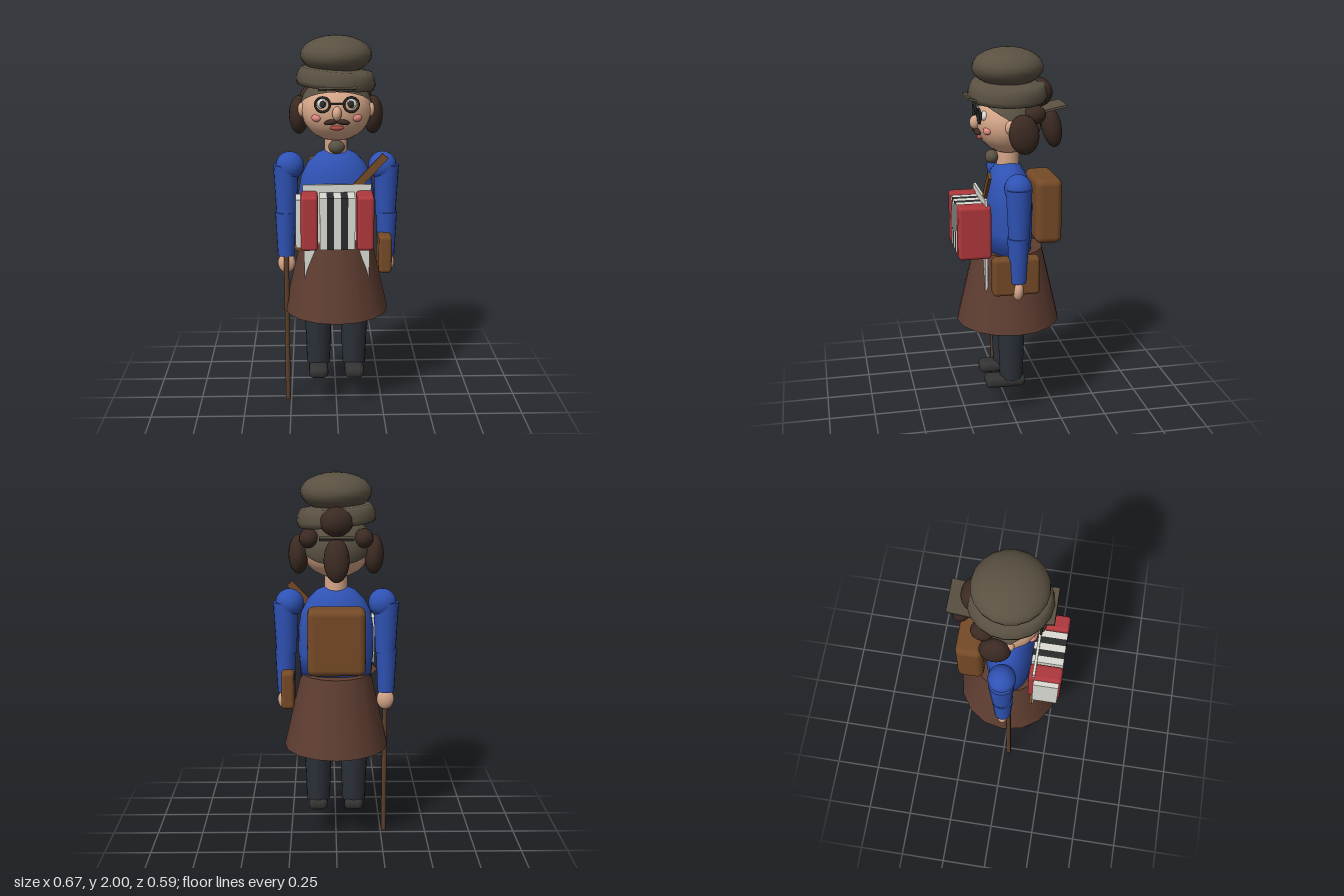
import * as THREE from 'three';
import { RoundedBoxGeometry } from 'three/addons/geometries/RoundedBoxGeometry.js';

const COLORS = {
  cap: 0x5a5142, hair: 0x3b2a22, skin: 0xd8a88a, blue: 0x2f52b4, leather: 0x754a27,
  skirt: 0x5e3d31, trousers: 0x2b3038, shoe: 0x333333, red: 0xae383d, white: 0xdcdcd4,
  black: 0x2a2c2b, wood: 0x5c3f2b, blush: 0xe08a80, lips: 0xb04a42,
};
const materials = {};
for (const key in COLORS) {
  materials[key] = new THREE.MeshStandardMaterial({ color: COLORS[key], side: THREE.DoubleSide });
}

export function createModel() {
  const model = new THREE.Group();
  model.name = 'travellingMusician';

  const add = (name, geometry, color, pos, rot = [0, 0, 0], scale = [1, 1, 1]) => {
    const mesh = new THREE.Mesh(geometry, materials[color]);
    mesh.name = name;
    mesh.position.set(...pos);
    mesh.rotation.set(...rot);
    mesh.scale.set(...scale);
    model.add(mesh);
    return mesh;
  };
  const ball = (name, color, pos, radii, rot) =>
    add(name, new THREE.SphereGeometry(1, 20, 14), color, pos, rot, radii);
  const rounded = (name, color, size, radius, pos, rot) =>
    add(name, new RoundedBoxGeometry(...size, 3, radius), color, pos, rot);
  const box = (name, color, size, pos, rot) => add(name, new THREE.BoxGeometry(...size), color, pos, rot);
  const tube = (name, color, top, bottom, y0, y1, x, z, sides = 16) =>
    add(name, new THREE.CylinderGeometry(top, bottom, y1 - y0, sides), color, [x, (y0 + y1) / 2, z]);

  // Torso, skirt and neck
  const torso = [[0, 0.92], [0.19, 0.92], [0.2, 1.05], [0.2, 1.18], [0.185, 1.27], [0.15, 1.34],
    [0.1, 1.39], [0.05, 1.41], [0, 1.41]].map(p => new THREE.Vector2(...p));
  add('torso', new THREE.LatheGeometry(torso, 24), 'blue', [0, 0, 0], [0, 0, 0], [1, 1, 0.64]);
  tube('skirt', 'skirt', 0.185, 0.28, 0.53, 0.94, 0, 0);
  tube('neck', 'skin', 0.06, 0.06, 1.38, 1.5, 0, 0);

  // Head and face
  ball('head', 'skin', [0, 1.62, 0], [0.185, 0.165, 0.165]);
  ball('nose', 'skin', [0, 1.62, 0.17], [0.024, 0.036, 0.03]);
  ball('mouth', 'lips', [0, 1.543, 0.147], [0.036, 0.012, 0.014]);
  ball('goatee', 'cap', [0, 1.435, 0.085], [0.043, 0.036, 0.035]);
  box('glassesBridge', 'black', [0.07, 0.009, 0.009], [0, 1.668, 0.163]);

  // Cap: skull shell, tilted band, puffed crown, front visor and back flap
  add('capShell', new THREE.SphereGeometry(1, 24, 12, 0, Math.PI * 2, 0, Math.PI * 0.47), 'cap',
    [0, 1.62, 0], [-0.55, 0, 0], [0.19, 0.172, 0.175]);
  const band = [[0.15, -0.045], [0.2, -0.045], [0.208, -0.02], [0.2, 0.015], [0.185, 0.045], [0.1, 0.055]]
    .map(p => new THREE.Vector2(...p));
  add('capBand', new THREE.LatheGeometry(band, 20), 'cap', [0, 1.782, 0], [0, 0, -0.09]);
  ball('capCrown', 'cap', [0, 1.9, 0], [0.185, 0.1, 0.185]);
  box('capVisor', 'cap', [0.19, 0.012, 0.14], [0, 1.742, 0.152], [-0.2, 0, 0]);
  box('capBackFlap', 'cap', [0.176, 0.012, 0.16], [0, 1.686, -0.217], [0.2, 0, 0]);

  // Back hair
  ball('upperBackHair', 'hair', [0, 1.765, -0.165], [0.085, 0.075, 0.07]);
  ball('lowerBackHair', 'hair', [0, 1.58, -0.235], [0.065, 0.112, 0.052], [0.2, 0, 0]);

  // Mirrored parts of face, arms and legs
  for (const s of [-1, 1]) {
    const side = s > 0 ? 'left' : 'right';
    ball(side + 'Eye', 'white', [s * 0.073, 1.665, 0.135], [0.028, 0.026, 0.018]);
    ball(side + 'Pupil', 'black', [s * 0.071, 1.665, 0.147], [0.017, 0.019, 0.011]);
    add(side + 'GlassesRim', new THREE.TorusGeometry(0.037, 0.006, 8, 24), 'black', [s * 0.073, 1.665, 0.162]);
    ball(side + 'Cheek', 'blush', [s * 0.105, 1.592, 0.128], [0.026, 0.019, 0.016], [0, s * 0.5, 0]);
    ball(side + 'Moustache', 'hair', [s * 0.03, 1.576, 0.163], [0.036, 0.014, 0.018], [0, 0, -s * 0.15]);
    ball(side + 'Ear', 'skin', [s * 0.18, 1.62, 0.02], [0.02, 0.037, 0.028]);
    ball(side + 'SideHair', 'hair', [s * 0.195, 1.585, -0.045], [0.052, 0.102, 0.078], [0.15, 0, 0]);
    ball(side + 'Lock', 'hair', [s * 0.14, 1.675, -0.11], [0.05, 0.05, 0.06]);

    ball(side + 'Shoulder', 'blue', [s * 0.245, 1.32, -0.005], [0.075, 0.075, 0.072]);
    tube(side + 'UpperArm', 'blue', 0.068, 0.054, 1.05, 1.325, s * 0.265, -0.005);
    tube(side + 'Forearm', 'blue', 0.056, 0.045, 0.83, 1.07, s * 0.27, 0);
    ball(side + 'Hand', 'skin', [s * 0.268, 0.785, 0], [0.047, 0.058, 0.03]);

    tube(side + 'Thigh', 'trousers', 0.075, 0.074, 0.5, 0.62, s * 0.098, 0);
    tube(side + 'Leg', 'trousers', 0.075, 0.063, 0.21, 0.52, s * 0.098, 0);
    rounded(side + 'Shoe', 'shoe', [0.105, 0.066, 0.22], 0.03, [s * 0.098, 0.193, 0.035]);
  }

  // Accordion: end cases, pleated bellows and keyboard
  for (const s of [-1, 1]) {
    rounded('accordionCase', 'red', [0.088, 0.285, 0.172], 0.018, [s * 0.143, 1.075, 0.206]);
  }
  for (let i = 0; i < 5; i++) {
    box('bellowsPleat', i % 2 ? 'black' : 'white', [0.036, 0.27, 0.165], [(i - 2) * 0.036, 1.075, 0.206]);
  }
  box('accordionKeyboard', 'white', [0.026, 0.25, 0.132], [-0.2, 1.075, 0.215]);

  // Notched cloth behind the accordion
  const cloth = new THREE.Shape([[-0.178, 1.25], [0.178, 1.25], [0.17, 0.74], [0.1, 0.95], [-0.085, 0.95], [-0.17, 0.74]]
    .map(p => new THREE.Vector2(...p)));
  add('clothPanel', new THREE.ExtrudeGeometry(cloth, { depth: 0.014, bevelEnabled: false }), 'white', [0, 0, 0.14]);

  // Strap, satchel, backpack and walking stick
  box('shoulderStrap', 'leather', [0.68, 0.04, 0.015], [0.018, 1.15, 0.143], [0, 0, 0.82]);
  rounded('satchel', 'leather', [0.07, 0.205, 0.247], 0.02, [0.258, 0.862, 0.01]);
  rounded('backpack', 'leather', [0.3, 0.35, 0.142], 0.035, [0, 1.155, -0.195]);
  tube('walkingStick', 'wood', 0.014, 0.014, 0, 0.83, -0.268, 0.032, 10);

  return model;
}
